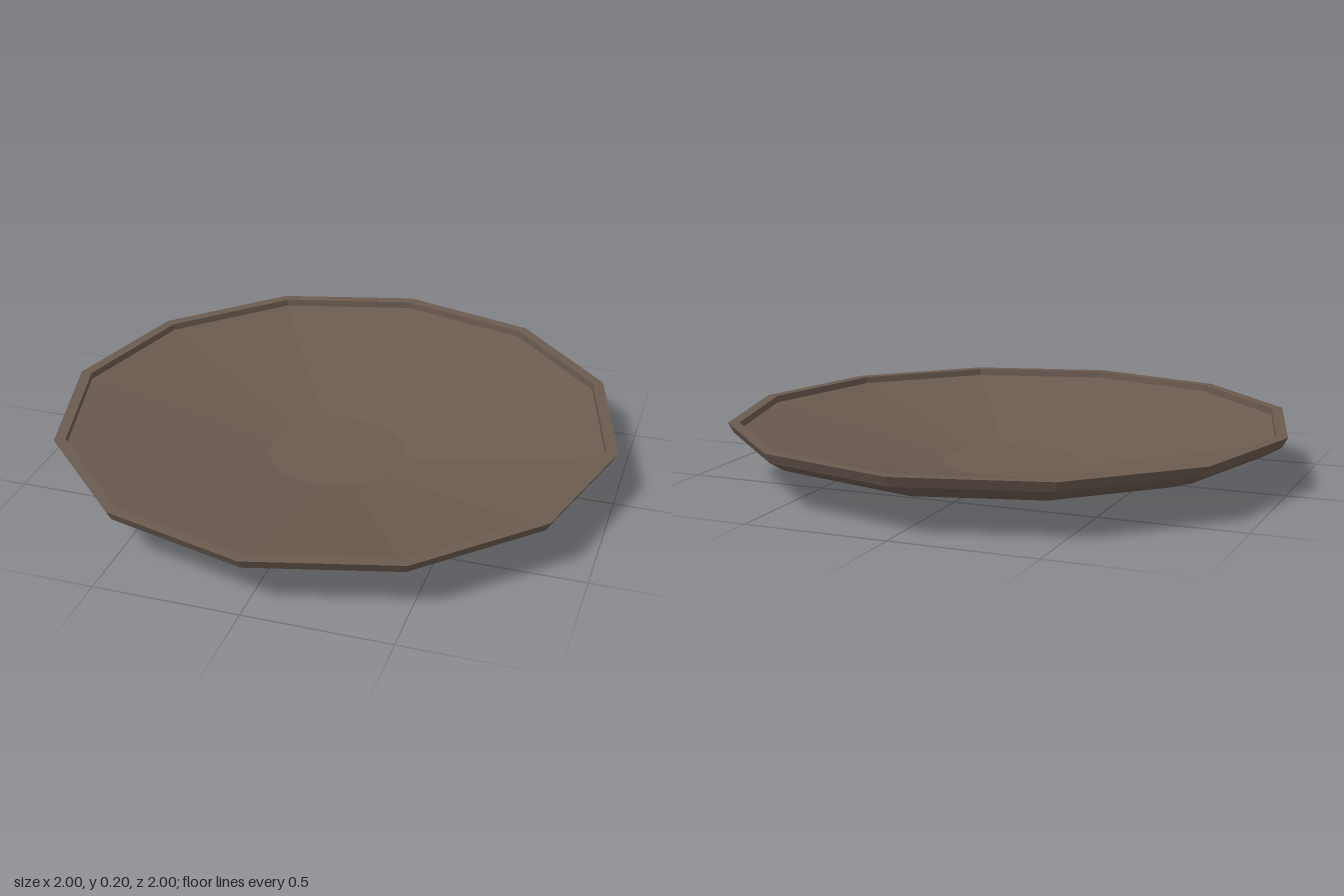
import * as THREE from 'three';

const SIDES = 12;
const RIM_Y = 0.2;
const BOTTOM_Y = 0.02;

function part(name, geometry, material) {
  const mesh = new THREE.Mesh(geometry, material);
  mesh.name = name;
  return mesh;
}

export function createModel() {
  const group = new THREE.Group();
  group.name = 'dish';
  const clay = new THREE.MeshStandardMaterial({ color: 0x6b5b50, flatShading: true });

  // Outer shell: quarter-ellipse profile from the bottom centre up to the rim
  const profile = [];
  const steps = 8;
  for (let i = 0; i <= steps; i++) {
    const a = (i / steps) * Math.PI / 2;
    profile.push(new THREE.Vector2(Math.sin(a), RIM_Y - (RIM_Y - BOTTOM_Y) * Math.cos(a)));
  }
  // Flat rim, short inner lip, sloping inside and flat centre
  profile.push(
    new THREE.Vector2(0.96, RIM_Y),
    new THREE.Vector2(0.96, 0.175),
    new THREE.Vector2(0.25, 0.035),
    new THREE.Vector2(0, 0.035),
  );
  group.add(part('bowl', new THREE.LatheGeometry(profile, SIDES), clay));

  // Low foot disc under the bowl
  const footHeight = 0.024;
  const foot = part('foot', new THREE.CylinderGeometry(0.195, 0.195, footHeight, SIDES), clay);
  foot.position.y = footHeight / 2;
  group.add(foot);

  return group;
}
